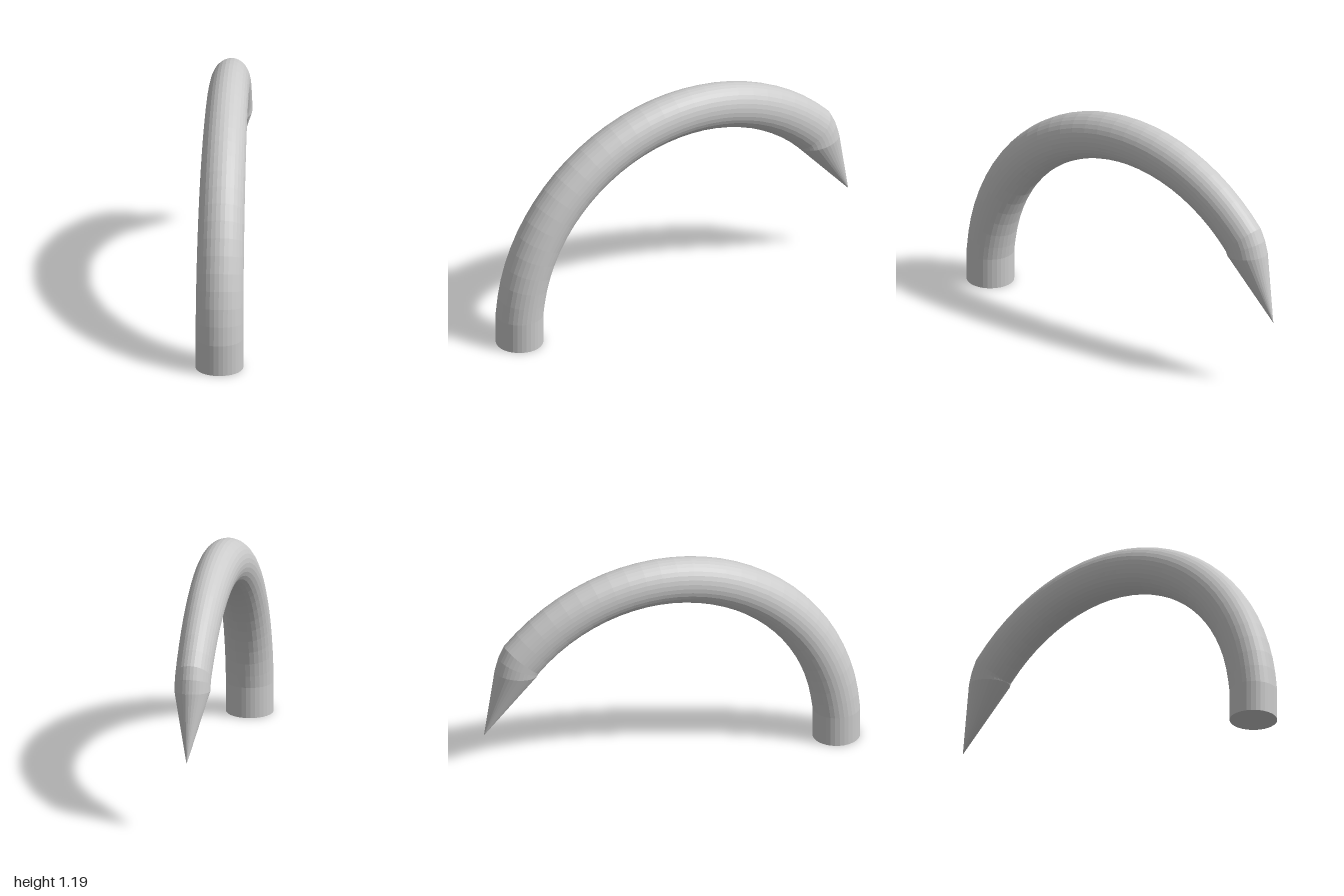
import * as THREE from 'three';

const SIDES = 32;
const material = new THREE.MeshStandardMaterial({ color: 0xcccccc, flatShading: true });

// Cross-section spanned by an outer and inner point [z, y] with half-width w along x
const ring = (outer, inner, w) => ({ outer, inner, w });

// Skin a list of oval cross-sections; a section of zero width closes to a point
function loft(rings) {
  const point = (r, j) => {
    const a = (j / SIDES) * Math.PI * 2, c = Math.cos(a) / 2;
    return [
      Math.sin(a) * r.w,
      (r.outer[1] + r.inner[1]) / 2 + c * (r.outer[1] - r.inner[1]),
      (r.outer[0] + r.inner[0]) / 2 + c * (r.outer[0] - r.inner[0]),
    ];
  };
  const pos = [];
  for (let i = 0; i < rings.length - 1; i++) {
    for (let j = 0; j < SIDES; j++) {
      const a = point(rings[i], j), b = point(rings[i], j + 1);
      const c = point(rings[i + 1], j), d = point(rings[i + 1], j + 1);
      pos.push(...a, ...b, ...c);
      if (rings[i + 1].w > 0) pos.push(...b, ...d, ...c);
    }
  }
  const geo = new THREE.BufferGeometry();
  geo.setAttribute('position', new THREE.Float32BufferAttribute(pos, 3));
  geo.computeVertexNormals();
  return geo;
}

export function createModel() {
  const group = new THREE.Group();
  const add = (name, geo) => {
    const mesh = new THREE.Mesh(geo, material);
    mesh.name = name;
    group.add(mesh);
    return mesh;
  };

  // Short straight base
  add('base', new THREE.CylinderGeometry(0.12, 0.12, 0.16, SIDES)).position.set(0, 0.08, 0.88);

  // Curved arm: circular arc whose width narrows towards the back
  const cz = -0.09, cy = 0.1, start = 0.062, end = THREE.MathUtils.degToRad(137), steps = 28;
  const onArc = (r, t) => [cz + r * Math.cos(t), cy + r * Math.sin(t)];
  const arm = [ring([1, 0.16], [0.76, 0.16], 0.12)];
  for (let i = 1; i <= steps; i++) {
    const t = start + (end - start) * (i / steps);
    const z = cz + 0.97 * Math.cos(t);
    arm.push(ring(onArc(1.09, t), onArc(0.85, t), 0.12 - 0.03 * (0.88 - z) / 1.68));
  }
  add('curvedArm', loft(arm));

  // Pointed tip: bends about the inner edge, then runs straight to the point
  const tip = [
    arm[steps],
    ring([-0.918, 0.78], [-0.713, 0.679], 0.09),
    ring([-0.938, 0.71], [-0.716, 0.675], 0.09),
    ring([-1, 0.36], [-1, 0.36], 0),
  ];
  add('pointedTip', loft(tip));

  return group;
}
